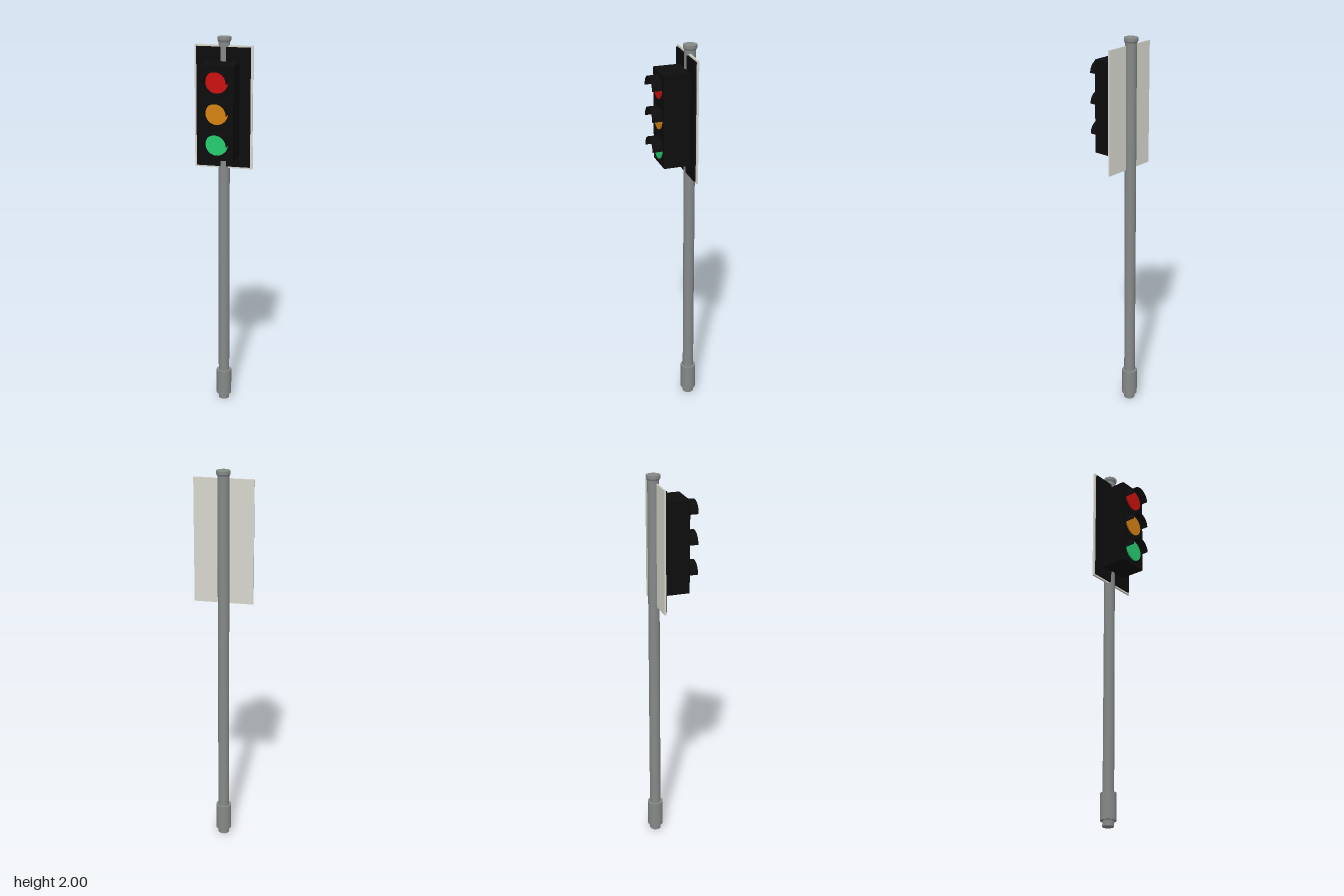
import * as THREE from 'three';

const material = (name, color) => {
  const m = new THREE.MeshStandardMaterial({ color });
  m.name = name;
  return m;
};

export function createModel() {
  const group = new THREE.Group();
  const grey = material('pole grey', 0x858988);
  const white = material('board white', 0xd6d6ce);
  const black = material('housing black', 0x0d0d0d);
  const red = material('red lens', 0xcc1010);
  const amber = material('amber lens', 0xd48212);
  const green = material('green lens', 0x25cc72);

  const add = (name, geometry, mat, x, y, z) => {
    const mesh = new THREE.Mesh(geometry, mat);
    mesh.name = name;
    mesh.position.set(x, y, z);
    group.add(mesh);
    return mesh;
  };
  // Box given by its width and its y and z ranges
  const box = (name, mat, w, y0, y1, z0, z1) =>
    add(name, new THREE.BoxGeometry(w, y1 - y0, z1 - z0), mat, 0, (y0 + y1) / 2, (z0 + z1) / 2);
  // Upright pole section
  const poleZ = -0.087;
  const section = (name, y0, y1, r0, r1) =>
    add(name, new THREE.CylinderGeometry(r1, r0, y1 - y0, 24), grey, 0, (y0 + y1) / 2, poleZ);

  // Pole with base collar and top cap
  section('pole', 0, 1.99, 0.029, 0.029);
  section('baseCollar', 0.03, 0.17, 0.0405, 0.0405);
  section('capTaper', 1.975, 1.985, 0.031, 0.0355);
  section('cap', 1.985, 2, 0.0355, 0.0355);

  // Backing board: pale sheet with a black face
  box('backBoard', white, 0.302, 1.325, 1.96, -0.08, -0.071);
  box('boardFace', black, 0.28, 1.335, 1.951, -0.071, -0.0625);

  // Signal housing
  box('housing', black, 0.167, 1.4, 1.88, -0.0625, 0.075);

  // Half-round hood section, hollow underneath
  const hoodShape = new THREE.Shape();
  hoodShape.absarc(0, 0, 0.061, 0, Math.PI, false);
  hoodShape.absarc(0, 0, 0.057, Math.PI, 0, true);
  const hoodGeometry = new THREE.ExtrudeGeometry(hoodShape, { depth: 0.052, bevelEnabled: false, curveSegments: 20 });
  const lensGeometry = new THREE.CylinderGeometry(0.057, 0.057, 0.012, 32).rotateX(Math.PI / 2);

  // Three lenses, each under its hood
  [['red', red, 1.8], ['amber', amber, 1.642], ['green', green, 1.485]].forEach(([name, mat, y]) => {
    add(name + 'Lens', lensGeometry, mat, 0, y, 0.076);
    add(name + 'Hood', hoodGeometry, black, 0, y, 0.075);
  });

  return group;
}
